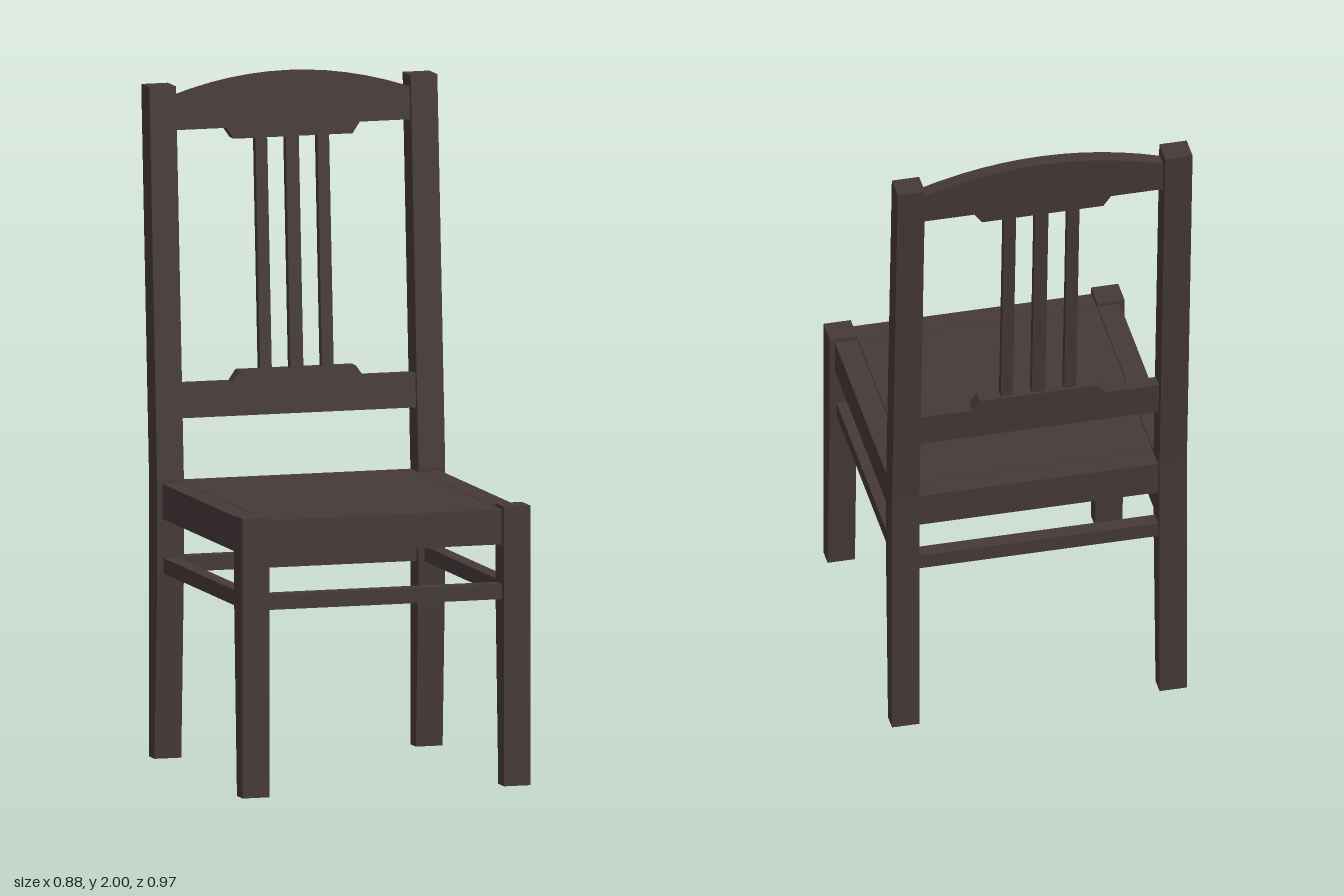
import * as THREE from 'three';

const wood = new THREE.MeshStandardMaterial({ color: 0x453838 });
wood.name = 'darkWood';

export function createModel() {
  const chair = new THREE.Group();
  chair.name = 'chair';

  const add = (name, geometry) => {
    const mesh = new THREE.Mesh(geometry, wood);
    mesh.name = name;
    chair.add(mesh);
  };
  const box = (name, x0, x1, y0, y1, z0, z1) => {
    const g = new THREE.BoxGeometry(x1 - x0, y1 - y0, z1 - z0);
    add(name, g.translate((x0 + x1) / 2, (y0 + y1) / 2, (z0 + z1) / 2));
  };
  const extrude = (points, depth) => new THREE.ExtrudeGeometry(
    new THREE.Shape(points.map(([a, b]) => new THREE.Vector2(a, b))),
    { depth, bevelEnabled: false });

  // Front face of the raked back posts at a given height
  const backFront = y => -0.33 - (y - 0.825) * 0.065;
  // Lean a part of the backrest so that it follows the posts
  const lean = (geometry, setBack) => {
    const p = geometry.attributes.position;
    for (let i = 0; i < p.count; i++) {
      p.setZ(i, p.getZ(i) + backFront(p.getY(i)) - setBack);
    }
    geometry.computeVertexNormals();
    return geometry;
  };

  // Leg outlines in side view as [z, y]
  const legs = {
    FrontLeg: [[0.43, 0], [0.485, 0], [0.485, 0.825], [0.403, 0.825], [0.403, 0.58]],
    BackLeg: [[-0.408, 0], [-0.355, 0], [-0.33, 0.55], [-0.33, 0.825], [-0.408, 0.825]],
    BackPost: [[-0.408, 0.825], [-0.33, 0.825], [-0.405, 1.975], [-0.482, 1.975]],
  };
  for (const [side, x] of [['left', 0.442], ['right', -0.36]]) {
    for (const [part, outline] of Object.entries(legs)) {
      add(side + part, extrude(outline, 0.082).rotateY(-Math.PI / 2).translate(x, 0, 0));
    }
  }

  // Seat rails, panel and stretchers
  box('seatPanel', -0.358, 0.358, 0.775, 0.815, -0.33, 0.398);
  box('frontSeatRail', -0.358, 0.358, 0.712, 0.815, 0.4, 0.467);
  box('backSeatRail', -0.358, 0.358, 0.712, 0.815, -0.398, -0.332);
  box('frontStretcher', -0.36, 0.36, 0.55, 0.595, 0.42, 0.465);
  box('backStretcher', -0.36, 0.36, 0.55, 0.595, -0.392, -0.347);
  for (const [side, s] of [['left', 1], ['right', -1]]) {
    const a = Math.min(s * 0.36, s * 0.427), b = Math.max(s * 0.36, s * 0.427);
    box(side + 'SeatRail', a, b, 0.712, 0.815, -0.328, 0.4);
    box(side + 'Stretcher', s * 0.4 - 0.022, s * 0.4 + 0.022, 0.55, 0.595, -0.33, 0.405);
  }

  // Crest rail: arched top, stepped tongue below
  const crest = [[-0.36, 1.845], [-0.205, 1.845], [-0.182, 1.812],
    [0.182, 1.812], [0.205, 1.845], [0.36, 1.845]];
  for (let i = 0; i <= 12; i++) {
    const x = 0.36 - i * 0.06;
    crest.push([x, 2 - 0.06 * (x / 0.36) ** 2]);
  }
  add('crestRail', lean(extrude(crest, 0.042).translate(0, 0, -0.042), 0.012));

  // Lower back rail with a raised middle
  const lower = [[-0.36, 1.002], [0.36, 1.002], [0.36, 1.102], [0.2, 1.102],
    [0.178, 1.133], [-0.178, 1.133], [-0.2, 1.102], [-0.36, 1.102]];
  add('lowerBackRail', lean(extrude(lower, 0.042).translate(0, 0, -0.042), 0.012));

  // Three upright slats
  for (const [name, x, w] of [['leftSlat', 0.095, 0.036], ['middleSlat', 0, 0.04], ['rightSlat', -0.095, 0.036]]) {
    const slat = new THREE.BoxGeometry(w, 0.7, 0.024).translate(x, 1.472, -0.012);
    add(name, lean(slat, 0.021));
  }
  return chair;
}
